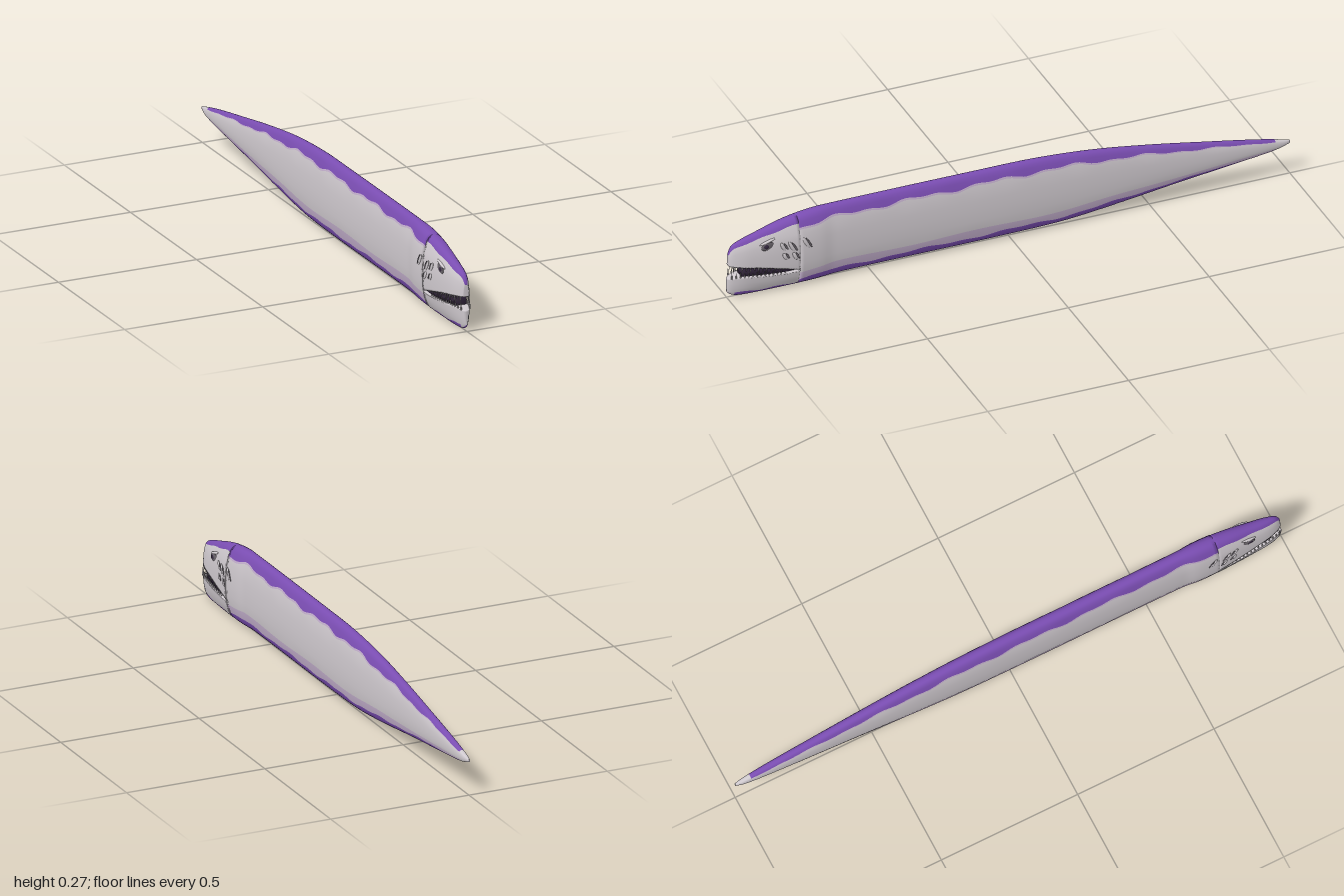
import * as THREE from 'three';
import { mergeVertices } from 'three/addons/utils/BufferGeometryUtils.js';

const mat = (name, color, side = THREE.FrontSide) => {
  const m = new THREE.MeshStandardMaterial({ color, side });
  m.name = name;
  return m;
};

// Smooth interpolation through [z, value] pairs, sorted by z
function profile(pts) {
  return z => {
    let i = 0;
    while (i < pts.length - 2 && z > pts[i + 1][0]) i++;
    const [z0, v0] = pts[i], [z1, v1] = pts[i + 1];
    const slope = k => {
      const a = pts[Math.max(k - 1, 0)], b = pts[Math.min(k + 1, pts.length - 1)];
      return (b[1] - a[1]) / (b[0] - a[0]);
    };
    const d = z1 - z0, t = THREE.MathUtils.clamp((z - z0) / d, 0, 1), t2 = t * t, t3 = t2 * t;
    return (2 * t3 - 3 * t2 + 1) * v0 + (t3 - 2 * t2 + t) * d * slope(i)
      + (3 * t2 - 2 * t3) * v1 + (t3 - t2) * d * slope(i + 1);
  };
}

// Outline of the whole animal: back, belly and half width along z
const top = profile([[-1, .128], [-.9, .152], [-.7, .19], [-.5, .226], [-.3, .255], [-.1, .27], [.1, .272],
  [.6, .272], [.7, .268], [.8, .252], [.9, .223], [.96, .204], [.985, .19], [.995, .168]]);
const belly = profile([[-1, .118], [-.95, .104], [-.8, .085], [-.6, .062], [-.4, .036], [-.2, .015], [0, .01],
  [.6, .009], [.7, .004], [.9, .002], [.96, .004], [.985, .01], [1, .022]]);
const width = profile([[-1, .004], [-.97, .01], [-.85, .017], [-.6, .025], [-.3, .033], [0, .037], [.63, .038],
  [.68, .044], [.75, .045], [.82, .041], [.9, .034], [.95, .028], [.985, .017], [1, .006]]);
const half = (z, y) => {
  const f = THREE.MathUtils.clamp((y - belly(z)) / (top(z) - belly(z)), 0, 1);
  return width(z) * Math.pow(Math.max(0, 1 - Math.pow(Math.abs(2 * f - 1), 2.35)), 1 / 2.35);
};
// Mouth lines
const upperLip = profile([[.755, .072], [.8, .084], [.88, .103], [.96, .117], [1, .122]]);
const lowerLip = profile([[.755, .070], [.8, .068], [.88, .073], [.96, .08], [1, .074]]);
const lipCentre = z => (upperLip(z) + lowerLip(z)) / 2;

// Uneven edges of the painted bands, as a share of the height
const topEdge = z => .87 + .018 * Math.sin(23 * z) + .014 * Math.sin(51 * z + 1);
const bottomEdge = z => .115 + .012 * Math.sin(19 * z + 2) + .008 * Math.sin(47 * z);
const lilacEdge = z => .225 + .012 * Math.sin(13 * z);

// Mirrored cross-sections joined along z; levels(z) are heights, paint(band, z) picks a material index
function loft(name, zs, levels, paint, materials, scaleX = 1) {
  const pos = [], lists = materials.map(() => []), n = levels(zs[0]).length, ring = 2 * n;
  zs.forEach(z => {
    const ys = levels(z);
    ys.forEach(y => pos.push(half(z, y) * scaleX, y, z));
    [...ys].reverse().forEach(y => pos.push(-half(z, y) * scaleX, y, z));
  });
  const quad = (m, a, b, c, d) => lists[m].push(a, b, c, a, c, d);
  for (let r = 0; r < zs.length - 1; r++) {
    for (let i = 0; i < ring; i++) {
      const j = (i + 1) % ring, a = r * ring;
      const band = i < n - 1 ? i : i === n - 1 ? n - 2 : i === ring - 1 ? -1 : ring - 2 - i;
      quad(paint(band, zs[r]), a + i, a + j, a + ring + j, a + ring + i);
    }
  }
  const e = (zs.length - 1) * ring;
  for (let i = 0; i < n - 1; i++) {
    const l = ring - 1 - i;
    quad(paint(i, zs[0]), l, l - 1, i + 1, i);
    quad(paint(i, zs[zs.length - 1]), e + i, e + i + 1, e + l - 1, e + l);
  }
  let g = new THREE.BufferGeometry();
  g.setAttribute('position', new THREE.Float32BufferAttribute(pos, 3));
  g.setIndex(lists.flat());
  let start = 0;
  lists.forEach((l, m) => { g.addGroup(start, l.length, m); start += l.length; });
  g = mergeVertices(g, 1e-5);
  g.computeVertexNormals();
  const mesh = new THREE.Mesh(g, materials);
  mesh.name = name;
  return mesh;
}

const range = (a, b, n) => Array.from({ length: n + 1 }, (_, i) => a + (b - a) * i / n);

export function createModel() {
  const group = new THREE.Group();
  const pale = mat('paleSkin', 0xcfc9ce), purple = mat('purpleSkin', 0x7a4db2), lilac = mat('lilacSkin', 0xc2aecb);
  const dark = mat('darkMouth', 0x35283f), gill = mat('gillGrey', 0x6a646b), tooth = mat('tooth', 0xb9b3b6);
  const skin = [pale, purple, lilac, dark];
  const between = (z, fs) => fs.map(f => belly(z) + f * (top(z) - belly(z)));

  // Body and tail: purple back and belly, lilac fringes, pale flanks and tail tip
  group.add(loft('body', range(-1, .755, 130), z => {
    const t = topEdge(z), b = bottomEdge(z), l = lilacEdge(z);
    return between(z, [0, .004, .015, .04, .075, b, l, .36, .5, .65, .77, t - .025, t, .93, .965, .985, .996, 1]);
  }, (i, z) => z < -.95 ? 0 : i < 5 || i >= 12 ? 1 : i === 5 || i === 11 ? 2 : 0, skin));

  // Upper head with a purple crown that narrows over the snout
  const headZ = [...range(.755, .96, 20), .968, .976, .983, .989, .993, .995];
  group.add(loft('upperHead', headZ, z => {
    const lo = upperLip(z), h = top(z) - lo, k = (z - .755) / .24;
    const t = topEdge(.755) + .025 - .03 * k + .01 * Math.sin(60 * (z - .755));
    return [0, .04, .15, .3, .45, .6, .72, t, .94, .97, .988, .997, 1].map(f => lo + f * h);
  }, i => i < 0 ? 3 : i >= 7 ? 1 : 0, skin));

  // Lower jaw with a purple underside
  group.add(loft('lowerJaw', [...headZ, 1], z => {
    const lo = belly(z), h = lowerLip(z) - lo;
    return [0, .015, .05, .12, .22 + .04 * Math.sin(55 * z), .45, .7, .92, 1].map(f => lo + f * h);
  }, (i, z) => i < 0 ? 3 : i >= 4 ? 0 : z > .97 && i > 1 ? 0 : 1, skin));

  // Dark throat filling the back of the mouth
  group.add(loft('throat', range(.757, .955, 12),
    z => [0, .5, 1].map(f => lowerLip(z) - .002 + f * (upperLip(z) - lowerLip(z) + .004)),
    () => 3, skin, .72));

  // Teeth along both lips
  const toothGeo = new THREE.ConeGeometry(.0032, 1, 5);
  for (const s of [-1, 1]) {
    range(.8, .982, 13).forEach((z, i) => {
      for (const up of [true, false]) {
        const y0 = up ? upperLip(z) + .002 : lowerLip(z) - .002;
        const len = (upperLip(z) - lowerLip(z)) * (i % 2 ? .75 : .55);
        const m = new THREE.Mesh(toothGeo, tooth);
        m.name = up ? 'upperTooth' : 'lowerTooth';
        m.scale.y = len;
        m.position.set(s * half(z, lipCentre(z)) * .86, y0 + (up ? -len / 2 : len / 2), z + (up ? 0 : .006));
        if (up) m.rotation.x = Math.PI;
        group.add(m);
      }
    });
  }

  // Eyes, brows and gill slits, mirrored
  const ball = new THREE.SphereGeometry(1, 16, 10);
  const blob = (name, material, s, y, z, size, tilt, lift = 0) => {
    const m = new THREE.Mesh(ball, material);
    m.name = name;
    m.position.set(s * (half(z, y) + lift), y, z);
    m.scale.set(...size);
    m.rotation.x = tilt;
    group.add(m);
  };
  for (const s of [-1, 1]) {
    blob('eyeSocket', gill, s, .182, .868, [.004, .014, .023], .25);
    blob('eye', dark, s, .182, .872, [.006, .01, .012], 0);
    blob('brow', pale, s, .197, .866, [.006, .005, .03], .3, -.001);
    [[.805, .17, .017], [.775, .165, .022], [.725, .17, .022], [.8, .135, .012], [.765, .13, .014]].forEach(([z, y, r]) => {
      blob('gillSlit', gill, s, y, z, [.0025, r, .0035], .5);
      blob('gillFold', pale, s, y, z + .009, [.004, r * 1.15, .007], .5, -.001);
    });
  }
  return group;
}
